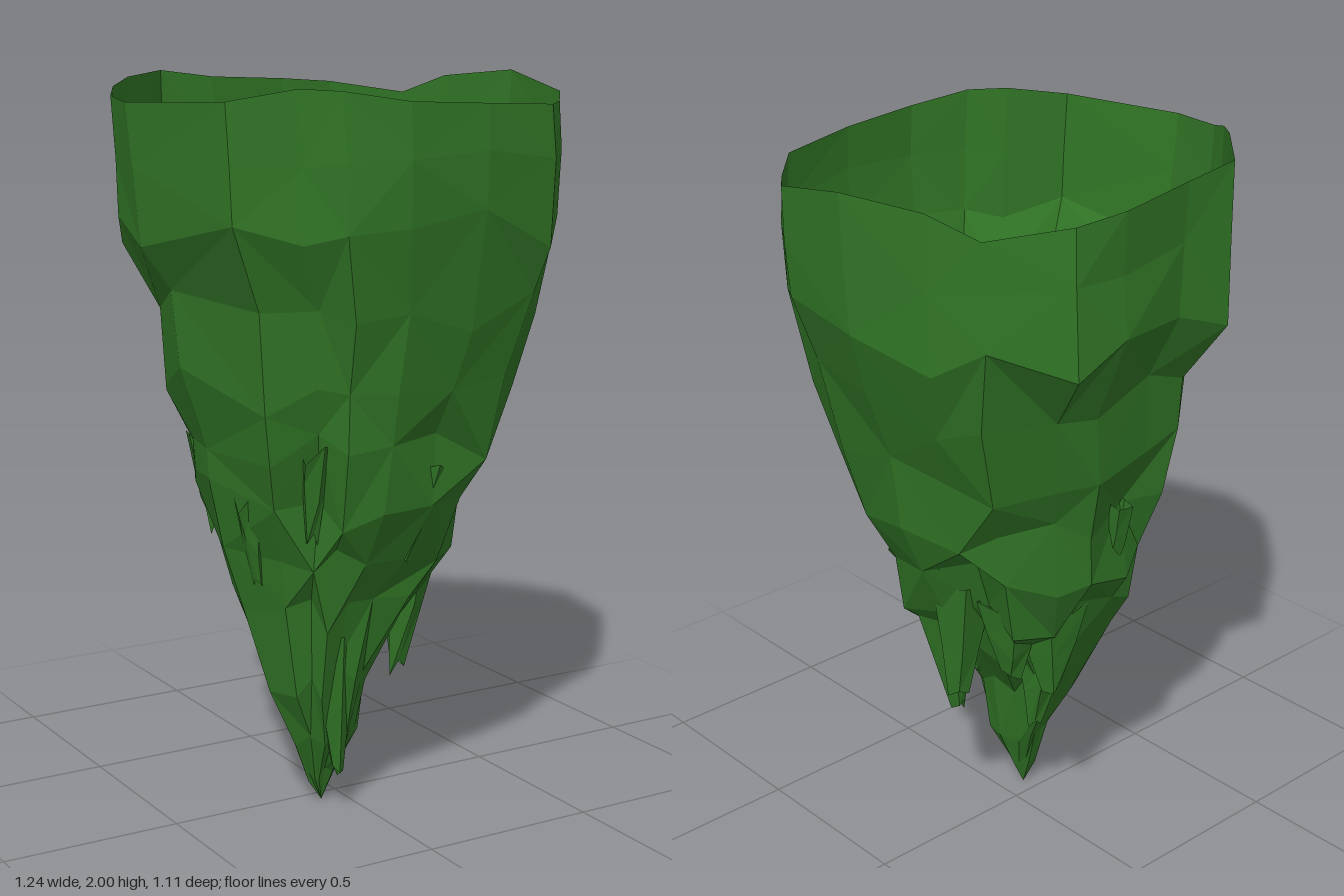
import * as THREE from 'three';

// Rim outline: x, height, z, running left, back, right, front
const RIM = [
  [-0.62, 1.94, 0.02], [-0.58, 1.95, -0.15], [-0.54, 1.97, -0.22], [-0.45, 1.99, -0.32],
  [-0.26, 2.0, -0.51], [-0.1, 1.98, -0.51], [0.15, 1.97, -0.55], [0.3, 1.96, -0.535],
  [0.47, 1.93, -0.4], [0.53, 1.98, -0.27], [0.615, 2.0, -0.06], [0.59, 1.95, 0.2],
  [0.5, 1.93, 0.32], [0.37, 1.93, 0.465], [0.13, 1.94, 0.525], [-0.11, 1.95, 0.545],
  [-0.27, 1.975, 0.495], [-0.35, 1.98, 0.42], [-0.51, 1.95, 0.345],
];

// Cross-sections below the rim: y, x min, x max, z min, z max, roughness, corner bulge
const RINGS = [
  [1.8, -0.595, 0.605, -0.54, 0.54, 0.02, 0.03],
  [1.62, -0.575, 0.59, -0.54, 0.53, 0.03, 0.06],
  [1.42, -0.505, 0.55, -0.475, 0.5, 0.07, 0],
  [1.22, -0.47, 0.475, -0.435, 0.465, 0.09, 0],
  [1.05, -0.42, 0.42, -0.39, 0.415, 0.12, 0],
  [0.9, -0.39, 0.37, -0.365, 0.375, 0.16, 0],
  [0.75, -0.35, 0.3, -0.32, 0.32, 0.18, 0],
  [0.58, -0.3, 0.18, -0.23, 0.265, 0.2, 0],
  [0.4, -0.235, 0.06, -0.11, 0.205, 0.2, 0],
  [0.2, -0.165, 0.015, -0.03, 0.15, 0.2, 0],
  [0.08, -0.11, -0.035, 0.015, 0.08, 0.1, 0],
];
const TIP = [-0.07, 0, 0.045];

function seeded(seed) {
  return () => {
    seed = (seed * 16807) % 2147483647;
    return seed / 2147483647;
  };
}

// Open, tapering shell with crumpled flat facets
function shellGeometry() {
  const rand = seeded(77);
  const n = RIM.length;
  const pos = RIM.flat();
  RINGS.forEach(([y, x0, x1, z0, z1, rough, bulge], r) => {
    const lift = r < 1 || r > 8 ? 0.025 : 0.06;
    RIM.forEach(([x, , z]) => {
      const corner = Math.abs(Math.sin(2 * Math.atan2(z, x)));
      const k = 1 + rough * (0.4 - rand()) + bulge * corner;
      pos.push(
        (x0 + x1) / 2 + (x / 0.618) * ((x1 - x0) / 2) * k,
        y + (rand() * 2 - 1) * lift,
        (z0 + z1) / 2 + (z / 0.548) * ((z1 - z0) / 2) * k,
      );
    });
  });
  const index = [];
  for (let r = 0; r < RINGS.length; r++) {
    for (let i = 0; i < n; i++) {
      const a = r * n + i, b = r * n + ((i + 1) % n), c = a + n, d = b + n;
      // alternate diagonals for an irregular faceting
      if ((i + r) % 2) index.push(a, b, c, b, d, c);
      else index.push(a, b, d, a, d, c);
    }
  }
  const last = RINGS.length * n;
  pos.push(...TIP);
  for (let i = 0; i < n; i++) index.push(last + i, last + ((i + 1) % n), last + n);
  const g = new THREE.BufferGeometry();
  g.setAttribute('position', new THREE.Float32BufferAttribute(pos, 3));
  g.setIndex(index);
  g.computeVertexNormals();
  return g;
}

// Jagged shard narrowing from a top point to a bottom point
function shardGeometry(top, tip, radius, blunt, rand) {
  const g = new THREE.CylinderGeometry(radius, blunt, 1, 5, 2, true);
  const p = g.attributes.position;
  const ridge = Array.from({ length: 15 }, () => 0.75 + rand() * 0.35);
  for (let i = 0; i < p.count; i++) {
    const t = 0.5 - p.getY(i);
    const col = (i % 6) % 5, row = Math.floor(i / 6);
    const k = ridge[row * 5 + col];
    p.setXYZ(i,
      THREE.MathUtils.lerp(top[0], tip[0], t) + p.getX(i) * k,
      THREE.MathUtils.lerp(top[1], tip[1], t) + (row < 2 ? (k - 0.9) * 0.25 : (1.1 - k) * 0.15),
      THREE.MathUtils.lerp(top[2], tip[2], t) + p.getZ(i) * k);
  }
  g.computeVertexNormals();
  return g;
}

// Point on the wall at a height and angle
function wallPoint(y, angle, inset) {
  const i = RINGS.findIndex((s) => s[0] <= y);
  const t = (RINGS[i - 1][0] - y) / (RINGS[i - 1][0] - RINGS[i][0]);
  const [, x0, x1, z0, z1] = RINGS[i].map((v, j) => THREE.MathUtils.lerp(RINGS[i - 1][j], v, t));
  return [
    (x0 + x1) / 2 + Math.cos(angle) * ((x1 - x0) / 2 - inset), y,
    (z0 + z1) / 2 + Math.sin(angle) * ((z1 - z0) / 2 - inset),
  ];
}

export function createModel() {
  const group = new THREE.Group();
  group.name = 'hollowRockSpike';
  const material = new THREE.MeshStandardMaterial({
    color: 0x317526, flatShading: true, side: THREE.DoubleSide,
  });
  const add = (name, geometry) => {
    const mesh = new THREE.Mesh(geometry, material);
    mesh.name = name;
    group.add(mesh);
  };

  add('shell', shellGeometry());

  // Large hanging points: top, tip, radius, blunt end radius
  const rand = seeded(4021);
  const points = [
    [[0.2, 0.76, 0.07], [0.165, 0.33, 0.06], 0.11, 0.025],
    [[0.23, 0.8, -0.04], [0.235, 0.45, -0.02], 0.09, 0.03],
    [[0.07, 0.74, -0.2], [0.07, 0.49, -0.225], 0.11, 0.03],
    [[0.17, 0.78, -0.17], [0.17, 0.54, -0.16], 0.1, 0.03],
    [[0.0, 0.62, -0.12], [0.02, 0.28, -0.1], 0.1, 0.02],
    [[0.06, 0.64, 0.14], [0.06, 0.42, 0.1], 0.1, 0.03],
    [[-0.1, 0.5, 0.15], [-0.08, 0.09, 0.145], 0.07, 0.02],
  ];
  points.forEach(([top, tip, r, blunt]) => add('hangingPoint', shardGeometry(top, tip, r, blunt, rand)));

  // Small folds around the lower wall
  for (let i = 0; i < 8; i++) {
    const angle = 0.4 + i * 2.4;
    const y = 0.72 + i * 0.03;
    const top = wallPoint(y + 0.16, angle, 0.04);
    const tip = wallPoint(y - 0.1, angle, 0.012);
    add('wallFold', shardGeometry(top, tip, 0.05, 0.015, rand));
  }
  return group;
}
